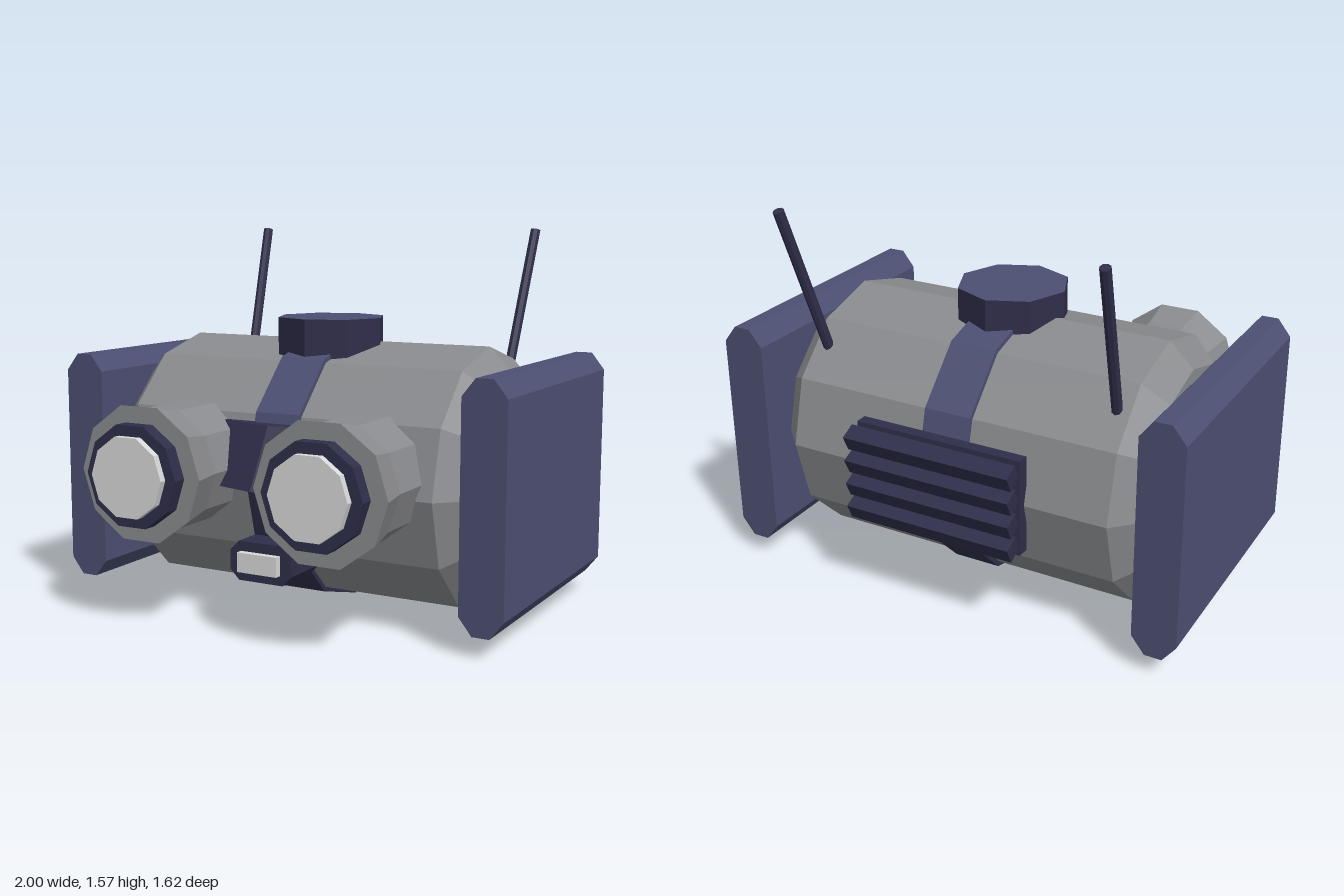
import * as THREE from 'three';

const mat = (name, color) => new THREE.MeshStandardMaterial({ name, color, flatShading: true });

export function createModel() {
  const model = new THREE.Group();
  model.name = 'robotHead';
  const grey = mat('grey', 0x8a8b8e);
  const navy = mat('navy', 0x4c4f72);
  const dark = mat('darkNavy', 0x2f2e4a);
  const light = mat('lightGrey', 0xd8d8d8);

  const add = (name, geometry, material, x = 0, y = 0, z = 0, parent = model) => {
    const mesh = new THREE.Mesh(geometry, material);
    mesh.name = name;
    mesh.position.set(x, y, z);
    parent.add(mesh);
    return mesh;
  };

  // Box with chamfered corners in its xy outline, centred on the origin
  const chamferBox = (w, h, d, cx, cy) => {
    const a = w / 2, b = h / 2;
    const outline = [[a, cy - b], [a, b - cy], [a - cx, b], [cx - a, b],
      [-a, b - cy], [-a, cy - b], [cx - a, -b], [a - cx, -b]];
    const shape = new THREE.Shape(outline.map(([x, y]) => new THREE.Vector2(x, y)));
    return new THREE.ExtrudeGeometry(shape, { depth: d, bevelEnabled: false }).translate(0, 0, -d / 2);
  };

  // Ten-sided turned part along z, from z0 (radius r0) to z1 (radius r1)
  const barrel = (r0, r1, z0, z1) =>
    new THREE.CylinderGeometry(r1, r0, z1 - z0, 10, 1, false, Math.PI / 2)
      .rotateX(Math.PI / 2).translate(0, 0, (z0 + z1) / 2);

  // Twelve-sided body lying along x
  const profile = [[0, -0.8], [0.44, -0.8], [0.54, -0.7], [0.54, 0.7], [0.44, 0.8], [0, 0.8]]
    .map(([r, y]) => new THREE.Vector2(r, y));
  add('body', new THREE.LatheGeometry(profile, 12).rotateZ(Math.PI / 2), grey, 0, 0.56, -0.14);

  // Strap around the middle, upper and lower halves
  const strap = (start) => new THREE.CylinderGeometry(0.56, 0.56, 0.2, 6, 1, false, start, Math.PI)
    .rotateZ(Math.PI / 2);
  add('upperStrap', strap(0), navy, 0, 0.56, -0.14);
  add('lowerStrap', strap(Math.PI), dark, 0, 0.56, -0.14);

  // Tapered collar that shows as the brow between the eyes
  add('browCollar', new THREE.CylinderGeometry(0.52, 0.655, 0.24, 12), dark, 0, 0.68, -0.1);

  // Knob on top: dark sides, lighter cap
  add('topKnob', new THREE.CylinderGeometry(0.23, 0.23, 0.25, 8), [dark, navy, dark], 0, 1.075, -0.1);

  // Mouth frame and lamp
  add('mouthFrame', chamferBox(0.28, 0.16, 0.22, 0.04, 0.04), dark, 0, 0.26, 0.37);
  add('mouthLamp', new THREE.BoxGeometry(0.18, 0.08, 0.06), light, 0, 0.26, 0.48);

  // Rear vent with tilted slats
  add('ventPlate', new THREE.BoxGeometry(0.72, 0.4, 0.05), dark, 0, 0.56, -0.685);
  for (let i = 0; i < 4; i++) {
    const slat = add('ventSlat', new THREE.BoxGeometry(0.72, 0.07, 0.07), dark, 0, 0.715 - i * 0.1, -0.763);
    slat.rotation.x = -0.44;
  }

  for (const side of [1, -1]) {
    const label = side > 0 ? 'left' : 'right';

    // Side panel
    add(label + 'SidePanel', chamferBox(0.18, 0.96, 1.12, 0.055, 0.07), navy, side * 0.91, 0.56, -0.14);

    // Eye: tube, flared hood, ring and lens
    const eye = new THREE.Group();
    eye.name = label + 'Eye';
    eye.position.set(side * 0.4, 0.62, 0);
    model.add(eye);
    add('eyeTube', barrel(0.25, 0.25, 0.15, 0.565), grey, 0, 0, 0, eye);
    add('eyeHood', barrel(0.25, 0.28, 0.565, 0.72), grey, 0, 0, 0, eye);
    add('eyeRing', barrel(0.21, 0.21, 0.7, 0.78), dark, 0, 0, 0, eye);
    add('eyeLens', barrel(0.165, 0.165, 0.76, 0.81), light, 0, 0, 0, eye);

    // Antenna leaning back and slightly outward
    const base = new THREE.Vector3(side * 0.642, 0.9, -0.476);
    const tip = new THREE.Vector3(side * 0.678, 1.56, -0.7);
    const dir = tip.clone().sub(base);
    const mid = base.clone().add(tip).multiplyScalar(0.5);
    const antenna = add(label + 'Antenna', new THREE.CylinderGeometry(0.022, 0.022, dir.length(), 8),
      dark, mid.x, mid.y, mid.z);
    antenna.quaternion.setFromUnitVectors(new THREE.Vector3(0, 1, 0), dir.normalize());
  }
  return model;
}
